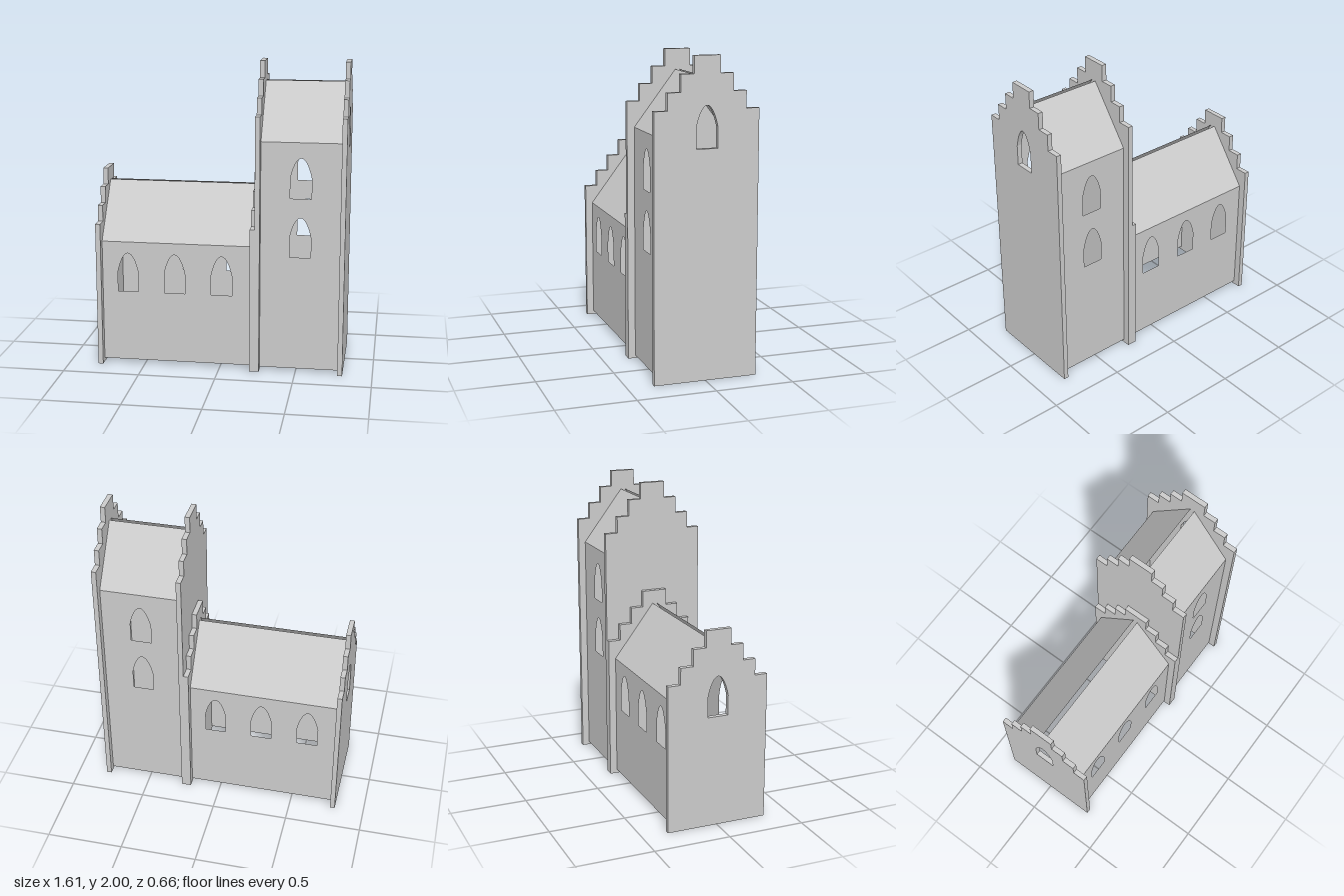
import * as THREE from 'three';

const WALL_Z = 0.285;   // half distance between the side walls
const RIDGE_Z = 0.014;  // half of the open slot along the ridge
const GABLE = 0.032;    // gable thickness

const solid = new THREE.MeshStandardMaterial({ color: 0xcccccc, flatShading: true });
const sheet = new THREE.MeshStandardMaterial({ color: 0xcccccc, flatShading: true, side: THREE.DoubleSide });

// Pointed-arch window outline, standing on the sill
function archWindow(cx, sill) {
  const w = 0.068, spring = sill + 0.13, top = sill + 0.26;
  const p = new THREE.Path();
  p.moveTo(cx - w, sill);
  p.lineTo(cx - w, spring);
  p.bezierCurveTo(cx - 0.055, spring + 0.065, cx - 0.03, top, cx, top);
  p.bezierCurveTo(cx + 0.03, top, cx + 0.055, spring + 0.065, cx + w, spring);
  p.lineTo(cx + w, sill);
  p.closePath();
  return p;
}

// Crow-stepped gable, its left face at x
function gable(name, x, top, hasWindow) {
  const right = [];
  for (let i = 0; i < 4; i++) {
    const half = 0.332 * (1 - i / 4);
    const y = top - 0.107 * (3 - i);
    right.push([half, i === 0 ? 0 : y - 0.107], [half, y]);
  }
  const left = right.map(([z, y]) => [-z, y]).reverse();
  const shape = new THREE.Shape([...right, ...left].map(([z, y]) => new THREE.Vector2(z, y)));
  if (hasWindow) shape.holes.push(archWindow(0, top - 0.555));
  const geo = new THREE.ExtrudeGeometry(shape, { depth: GABLE, bevelEnabled: false, curveSegments: 8 });
  geo.rotateY(Math.PI / 2);
  const mesh = new THREE.Mesh(geo, solid);
  mesh.name = name;
  mesh.position.x = x;
  return mesh;
}

// Thin side walls with windows, and two roof slopes, between x0 and x1
function hall(name, { x0, x1, base, eave, ridge, windows }) {
  const group = new THREE.Group();
  group.name = name;
  const shape = new THREE.Shape([[x0, base], [x1, base], [x1, eave], [x0, eave]]
    .map(([x, y]) => new THREE.Vector2(x, y)));
  for (const [x, sill] of windows) shape.holes.push(archWindow(x, sill));

  const run = WALL_Z - RIDGE_Z, rise = ridge - eave;
  for (const side of [1, -1]) {
    const label = side > 0 ? 'front' : 'back';
    const wallGeo = new THREE.ShapeGeometry(shape, 8);
    // Turn the back wall outward, keeping its windows in line with the front
    if (side < 0) wallGeo.translate(-(x0 + x1) / 2, 0, 0).rotateY(Math.PI).translate((x0 + x1) / 2, 0, 0);
    wallGeo.translate(0, 0, side * WALL_Z);
    const wall = new THREE.Mesh(wallGeo, sheet);
    wall.name = label + 'Wall';

    const roofGeo = new THREE.PlaneGeometry(x1 - x0, Math.hypot(run, rise));
    roofGeo.rotateX(-Math.atan2(run, rise));
    if (side < 0) roofGeo.rotateY(Math.PI);
    const roof = new THREE.Mesh(roofGeo, sheet);
    roof.name = label + 'Roof';
    roof.position.set((x0 + x1) / 2, (eave + ridge) / 2, side * (WALL_Z + RIDGE_Z) / 2);
    group.add(wall, roof);
  }
  return group;
}

export function createModel() {
  const model = new THREE.Group();
  model.name = 'church';

  // Long low nave
  const nave = hall('nave', {
    x0: -0.775, x1: 0.2, base: 0.025, eave: 0.83, ridge: 1.187,
    windows: [-0.605, -0.296, 0.013].map((x) => [x, 0.495]),
  });
  nave.add(gable('naveOuterGable', -0.807, 1.275, true), gable('naveInnerGable', 0.2, 1.275, false));

  // Tall tower
  const tower = hall('tower', {
    x0: 0.264, x1: 0.775, base: 0.02, eave: 1.515, ridge: 1.87,
    windows: [0.77, 1.155].map((y) => [0.52, y]),
  });
  tower.add(gable('towerInnerGable', 0.232, 2, false), gable('towerOuterGable', 0.775, 2, true));

  model.add(nave, tower);
  return model;
}
